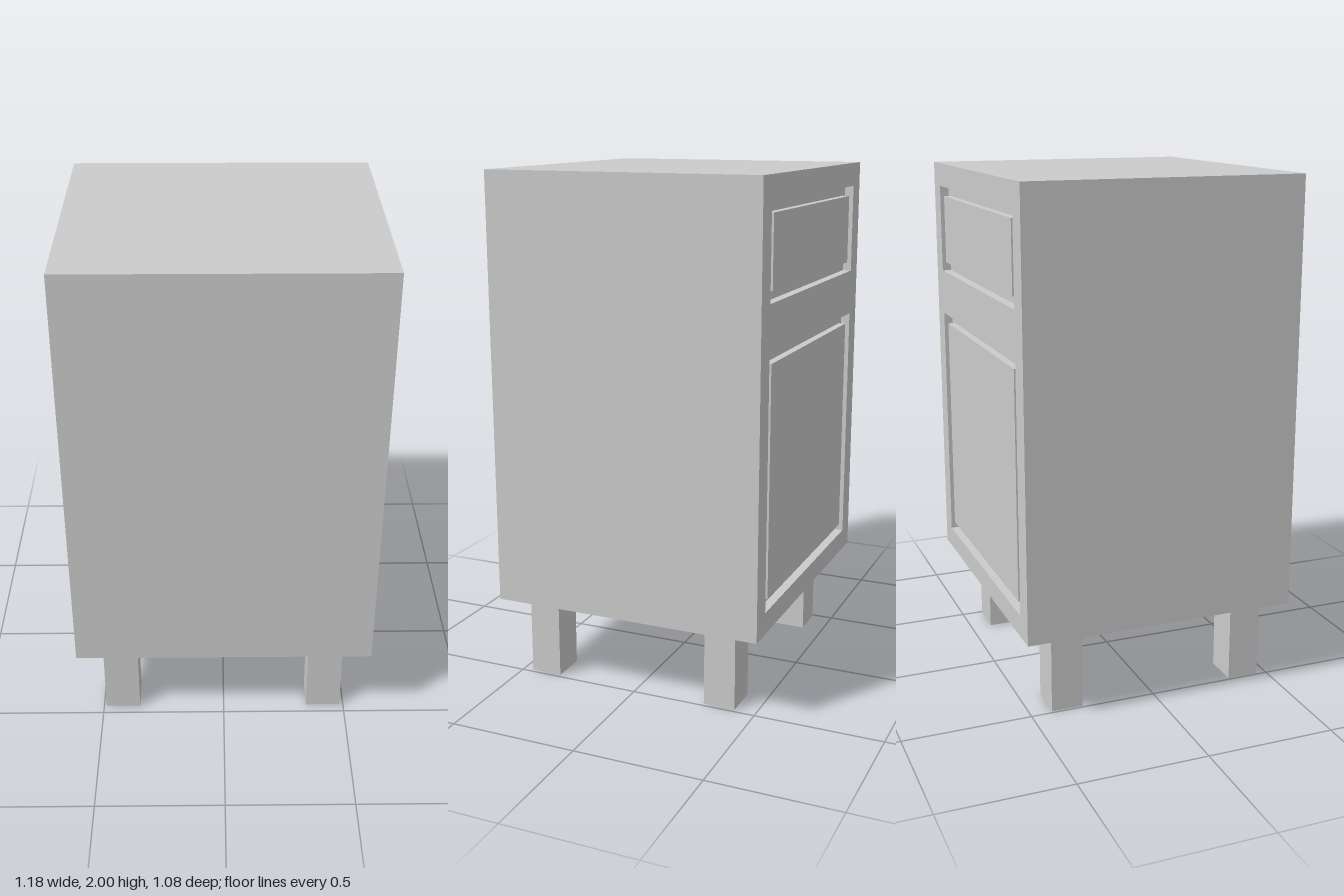
import * as THREE from 'three';

const W = 1.18, BOTTOM = 0.335, TOP = 2, BACK = -0.538, FRONT = 0.538;
const RECESS = 0.035;  // depth of the openings in the face frame
const GAP = 0.039;     // groove around each raised panel
const INSET = 0.006;   // panel face sits just behind the frame
const OPEN = 0.502;    // half width of the openings

export function createModel() {
  const group = new THREE.Group();
  const material = new THREE.MeshStandardMaterial({ color: 0xcccccc, flatShading: true });

  const add = (name, geometry) => {
    const mesh = new THREE.Mesh(geometry, material);
    mesh.name = name;
    group.add(mesh);
    return mesh;
  };
  // box given by its min and max corners
  const box = (name, [x0, y0, z0], [x1, y1, z1]) =>
    add(name, new THREE.BoxGeometry(x1 - x0, y1 - y0, z1 - z0))
      .position.set((x0 + x1) / 2, (y0 + y1) / 2, (z0 + z1) / 2);
  const trace = (path, x, y0, y1) =>
    path.moveTo(-x, y0).lineTo(x, y0).lineTo(x, y1).lineTo(-x, y1).closePath();

  // cabinet carcass
  box('cabinetBody', [-W / 2, BOTTOM, BACK + RECESS], [W / 2, TOP, FRONT]);

  // face frame with two openings, each holding a raised panel
  const frame = trace(new THREE.Shape(), W / 2, BOTTOM, TOP);
  const openings = [['drawerPanel', 1.56, 1.908], ['doorPanel', 0.42, 1.381]];
  for (const [name, y0, y1] of openings) {
    frame.holes.push(trace(new THREE.Path(), OPEN, y0, y1));
    box(name, [-OPEN + GAP, y0 + GAP, BACK + INSET], [OPEN - GAP, y1 - GAP, BACK + RECESS]);
  }
  add('faceFrame', new THREE.ExtrudeGeometry(frame, { depth: RECESS, bevelEnabled: false }))
    .position.z = BACK;

  // four square legs
  for (const x of [-0.42, 0.415]) {
    for (const z of [-0.353, 0.398]) {
      box('leg', [x - 0.07, 0, z - 0.0625], [x + 0.07, BOTTOM, z + 0.0625]);
    }
  }
  return group;
}
